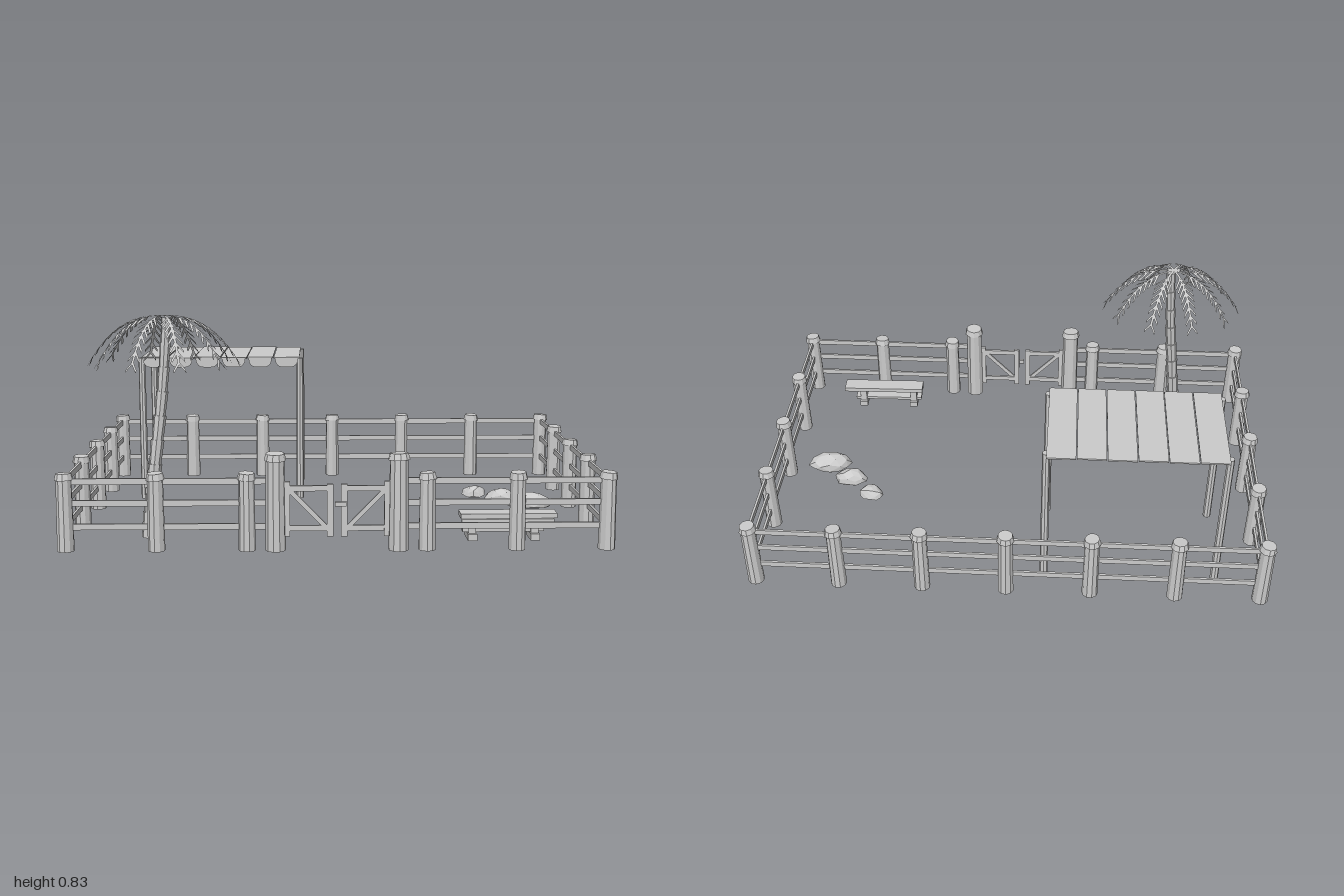
import * as THREE from 'three';

const mat = new THREE.MeshStandardMaterial({ color: 0xcccccc, flatShading: true });
const thin = new THREE.MeshStandardMaterial({ color: 0xcccccc, flatShading: true, side: THREE.DoubleSide });
const V = (x, y, z) => new THREE.Vector3(x, y, z);

function add(parent, name, geo, x = 0, y = 0, z = 0, m = mat) {
  const mesh = new THREE.Mesh(geo, m);
  mesh.name = name;
  mesh.position.set(x, y, z);
  parent.add(mesh);
  return mesh;
}

function group(parent, name) {
  const g = new THREE.Group();
  g.name = name;
  parent.add(g);
  return g;
}

// Square bar running from a to b
function bar(parent, name, a, b, h, d) {
  const mesh = add(parent, name, new THREE.BoxGeometry(d, h, a.distanceTo(b)));
  mesh.position.copy(a).add(b).multiplyScalar(0.5);
  mesh.lookAt(b);
  return mesh;
}

// Round log post with a wider, slightly tilted cap
function post(parent, name, x, z, h, r, i) {
  const g = group(parent, name);
  g.position.set(x, 0, z);
  g.rotation.y = i * 1.7;
  add(g, 'log', new THREE.CylinderGeometry(r * 0.9, r, h - 0.015, 10), 0, (h - 0.015) / 2, 0);
  const cap = add(g, 'cap', new THREE.CylinderGeometry(r * 0.9, r * 1.08, 0.024, 10), 0, h - 0.013, 0);
  cap.rotation.z = 0.07;
}

function buildFence(root) {
  const g = group(root, 'fence');
  const xs = [-0.968, -0.645, -0.322, 0, 0.322, 0.645, 0.968];
  const zs = [-0.64, -0.322, -0.005, 0.312, 0.628];
  const back = zs[0], front = zs[4], side = xs[6];
  xs.forEach((x, i) => {
    post(g, 'backPost', x, back, 0.283, 0.031, i);
    if (x !== 0) post(g, 'frontPost', x, front, 0.283, 0.031, i + 3);
  });
  zs.slice(1, 4).forEach((z, i) => [-1, 1].forEach(s => post(g, 'sidePost', s * side, z, 0.283, 0.031, i + s)));
  [-1, 1].forEach(s => post(g, 'gatePost', s * 0.22, front, 0.353, 0.037, s + 2));
  [0.252, 0.173, 0.087].forEach(y => {
    const rail = (x0, z0, x1, z1) => bar(g, 'rail', V(x0, y, z0), V(x1, y, z1), 0.022, 0.009);
    for (let i = 0; i < 6; i++) rail(xs[i], back, xs[i + 1], back);
    for (let i = 0; i < 4; i++) [-1, 1].forEach(s => rail(s * side, zs[i], s * side, zs[i + 1]));
    [-1, 1].forEach(s => rail(s * 0.22, front, s * side, front));
  });
}

// Two leaves with a diagonal brace each
function buildGate(root) {
  const g = group(root, 'gate'), z = 0.628;
  [-1, 1].forEach(s => {
    const leaf = group(g, s > 0 ? 'leftLeaf' : 'rightLeaf');
    bar(leaf, 'innerStile', V(s * 0.025, 0.05, z), V(s * 0.025, 0.24, z), 0.012, 0.022);
    bar(leaf, 'outerStile', V(s * 0.178, 0.05, z), V(s * 0.178, 0.25, z), 0.012, 0.02);
    bar(leaf, 'topRail', V(s * 0.02, 0.225, z), V(s * 0.2, 0.225, z), 0.02, 0.01);
    bar(leaf, 'bottomRail', V(s * 0.02, 0.08, z), V(s * 0.2, 0.08, z), 0.02, 0.01);
    bar(leaf, 'brace', V(s * 0.035, 0.08, z + 0.004), V(s * 0.17, 0.22, z + 0.004), 0.016, 0.008);
  });
  add(g, 'latch', new THREE.BoxGeometry(0.04, 0.016, 0.014), 0.012, 0.17, z + 0.012);
}

// Flat awning on four poles, with a scalloped front edge
function buildCanopy(root) {
  const g = group(root, 'canopy');
  [-0.803, -0.142].forEach(x => [-0.18, -0.537].forEach(z => {
    add(g, 'pole', new THREE.CylinderGeometry(0.014, 0.016, 0.6, 8), x, 0.3, z);
  }));
  const flap = new THREE.Shape();
  flap.moveTo(-0.049, 0);
  flap.lineTo(-0.046, -0.018);
  flap.quadraticCurveTo(-0.038, -0.04, -0.015, -0.04);
  flap.lineTo(0.015, -0.04);
  flap.quadraticCurveTo(0.038, -0.04, 0.046, -0.018);
  flap.lineTo(0.049, 0);
  for (let i = 0; i < 6; i++) {
    const x = -0.747 + i * 0.11;
    add(g, 'roofPanel', new THREE.BoxGeometry(0.107, 0.006, 0.42), x, 0.604 - (i % 2) * 0.002, -0.362);
    add(g, 'scallop', new THREE.ExtrudeGeometry(flap, { depth: 0.005, bevelEnabled: false, curveSegments: 5 }), x, 0.604, -0.153);
  }
}

// Strip geometry from a list of quads, each given by four corners
function quads(list) {
  const pos = [];
  list.forEach(([a, b, c, d]) => [a, b, c, a, c, d].forEach(p => pos.push(p.x, p.y, p.z)));
  const geo = new THREE.BufferGeometry();
  geo.setAttribute('position', new THREE.Float32BufferAttribute(pos, 3));
  geo.computeVertexNormals();
  return geo;
}

// Drooping frond: a midrib with paired slanted leaflets
function frondGeometry(angle) {
  const c = Math.cos(angle), s = Math.sin(angle);
  const at = u => V(0.265 * u * c, 0.822 - 0.155 * u ** 2.6, 0.185 * u * s);
  const list = [], steps = 10;
  for (let i = 0; i < steps; i++) {
    const u = i / steps, p = at(u), q = at(u + 1 / steps);
    const along = q.clone().sub(p).normalize();
    const across = V(-along.z, 0, along.x).normalize();
    const w = across.clone().multiplyScalar(0.005);
    list.push([p.clone().sub(w), p.clone().add(w), q.clone().add(w), q.clone().sub(w)]);
    if (i < 2) continue;
    const len = 0.062 - 0.024 * u;
    const half = along.clone().multiplyScalar(0.0075);
    [-1, 1].forEach(k => {
      const dir = along.clone().multiplyScalar(0.75).addScaledVector(across, k * 0.65);
      dir.y -= 0.22;
      const tip = q.clone().addScaledVector(dir.normalize(), len);
      list.push([q.clone().sub(half), q.clone().add(half), tip.clone().addScaledVector(half, 0.7), tip.clone().addScaledVector(half, -0.9)]);
    });
  }
  return quads(list);
}

function buildPalm(root) {
  const g = group(root, 'palm');
  const path = new THREE.CatmullRomCurve3([V(-0.7, 0, 0.44), V(-0.672, 0.27, 0.425), V(-0.642, 0.54, 0.407), V(-0.622, 0.81, 0.395)]);
  const n = 9;
  // Trunk of stacked segments, each flaring towards its top
  for (let i = 0; i < n; i++) {
    const a = path.getPoint(i / n), b = path.getPoint((i + 1) / n);
    const r = 0.029 - 0.011 * i / n;
    const seg = add(g, 'trunkSegment', new THREE.CylinderGeometry(r, r * 0.86, a.distanceTo(b) + 0.006, 8));
    seg.position.copy(a).add(b).multiplyScalar(0.5);
    seg.quaternion.setFromUnitVectors(V(0, 1, 0), b.clone().sub(a).normalize());
  }
  const crown = group(g, 'crown');
  crown.position.set(-0.633, 0, 0.395);
  for (let i = 0; i < 10; i++) add(crown, 'frond', frondGeometry(i * Math.PI / 5 + 0.03), 0, 0, 0, thin);
}

function buildBench(root) {
  const g = group(root, 'bench');
  g.position.set(0.63, 0, 0.512);
  g.rotation.y = 0.02;
  add(g, 'seat', new THREE.BoxGeometry(0.355, 0.018, 0.068), 0, 0.098, -0.004);
  add(g, 'frontBoard', new THREE.BoxGeometry(0.34, 0.02, 0.01), -0.005, 0.078, 0.03);
  add(g, 'lowerBoard', new THREE.BoxGeometry(0.3, 0.012, 0.05), -0.02, 0.045, 0);
  [-0.135, 0.095].forEach(x => {
    add(g, 'leg', new THREE.BoxGeometry(0.028, 0.08, 0.06), x, 0.05, 0);
    add(g, 'foot', new THREE.BoxGeometry(0.034, 0.024, 0.085), x, 0.022, 0.002);
  });
}

// Low boulders: faceted domes with rule-based bumps
function buildRocks(root) {
  const g = group(root, 'rocks');
  [[0.593, -0.145, 0.05, 0.038, 0.04, 0.1], [0.697, -0.052, 0.074, 0.042, 0.045, 0.2], [0.802, 0.038, 0.084, 0.052, 0.055, -0.15]].forEach(([x, z, rx, rz, h, turn], k) => {
    const geo = new THREE.IcosahedronGeometry(1, 1), p = geo.attributes.position;
    for (let i = 0; i < p.count; i++) {
      const px = p.getX(i), py = p.getY(i), pz = p.getZ(i);
      const f = 1 + 0.1 * Math.sin(3 * px + 2 * pz + k * 2) + 0.06 * Math.sin(5 * py + 4 * pz + k);
      p.setXYZ(i, px * f * rx, Math.max(py, -0.12) * f * h, pz * f * rz);
    }
    geo.computeVertexNormals();
    add(g, 'rock', geo, x, 0.018, z).rotation.y = -turn;
  });
}

export function createModel() {
  const root = new THREE.Group();
  root.name = 'fencedYard';
  [buildFence, buildGate, buildCanopy, buildPalm, buildBench, buildRocks].forEach(build => build(root));
  return root;
}
